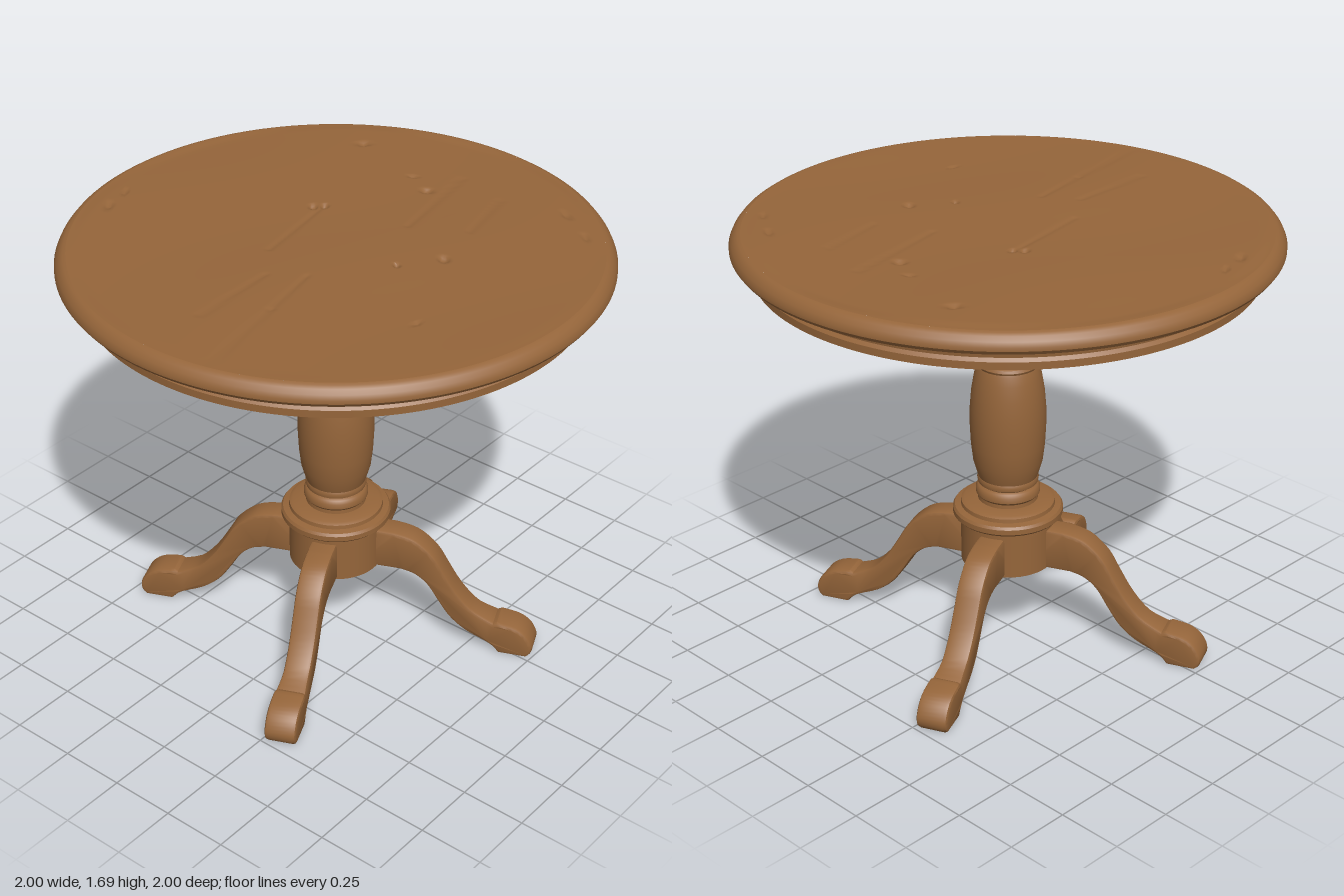
import * as THREE from 'three';
import { toCreasedNormals } from 'three/addons/utils/BufferGeometryUtils.js';

const wood = new THREE.MeshStandardMaterial({ color: 0x95653a });
wood.name = 'brown wood';

const vec = ([x, y]) => new THREE.Vector2(x, y);

function part(name, geometry) {
  const mesh = new THREE.Mesh(geometry, wood);
  mesh.name = name;
  return mesh;
}

// Turned part; the profile runs from bottom to top
const turned = (name, profile, sides) =>
  part(name, toCreasedNormals(new THREE.LatheGeometry(profile.map(vec), sides), 0.6));

// Distance from a point to a segment
function segmentDistance(x, z, [x1, z1, x2, z2]) {
  const dx = x2 - x1, dz = z2 - z1;
  const t = THREE.MathUtils.clamp(((x - x1) * dx + (z - z1) * dz) / (dx * dx + dz * dz), 0, 1);
  return Math.hypot(x - x1 - t * dx, z - z1 - t * dz);
}

// Knots (x, z, radius) and cracks (x1, z1, x2, z2) worn into the top
const knots = [
  [0.38, -0.13, 0.02], [-0.23, -0.15, 0.016], [-0.2, -0.18, 0.014], [0.53, -0.67, 0.016],
  [0.68, -0.57, 0.014], [0.01, -0.52, 0.02], [0.28, 0.01, 0.012], [-0.81, 0.32, 0.018],
  [-0.41, -0.67, 0.02], [-0.1, -0.58, 0.01], [0.57, 0.28, 0.01], [-0.84, 0.2, 0.01],
];
const cracks = [
  [0.09, 0.27, 0.14, 0.52], [0.14, 0.52, 0.21, 0.92], [0.05, -0.68, 0.13, -0.25],
  [0.27, -0.62, 0.33, -0.35], [-0.2, -0.15, -0.14, 0.2], [-0.03, 0.35, -0.02, 0.7],
];

function topHeight(x, z) {
  const fade = 1 - THREE.MathUtils.smoothstep(Math.hypot(x, z), 0.9, 0.955);
  let h = 0.003 * Math.sin(7 * x + 1.5 * Math.sin(2.5 * z)) + 0.002 * Math.sin(4 * z - 5 * x + 1);
  for (const [kx, kz, kr] of knots) {
    const d = Math.hypot(x - kx, z - kz) / kr;
    h -= 0.014 * Math.exp(-Math.pow(d, 4));
  }
  for (const crack of cracks) {
    const d = segmentDistance(x, z, crack) / 0.01;
    h -= 0.004 * Math.exp(-d * d);
  }
  return 1.688 + fade * h;
}

function tableTop() {
  const group = new THREE.Group();
  group.name = 'tableTop';
  // Underside, apron and rounded rim
  group.add(turned('apronAndRim', [
    [0, 1.533], [0.922, 1.533], [0.922, 1.56], [0.912, 1.572], [0.914, 1.585], [0.928, 1.598],
    [0.93, 1.608], [0.965, 1.611], [0.988, 1.618], [0.998, 1.632], [0.998, 1.645],
    [0.99, 1.662], [0.978, 1.677], [0.966, 1.685], [0.955, 1.688],
  ], 160));
  // Worn upper surface
  const surface = new THREE.RingGeometry(0.0005, 0.955, 240, 100).rotateX(-Math.PI / 2);
  const p = surface.attributes.position;
  for (let i = 0; i < p.count; i++) p.setY(i, topHeight(p.getX(i), p.getZ(i)));
  surface.computeVertexNormals();
  group.add(part('wornSurface', surface));
  return group;
}

// Curved leg cut from a side profile, with softened edges
function legGeometry() {
  const shape = new THREE.Shape();
  shape.moveTo(0.1, 0.482);
  shape.lineTo(0.23, 0.482);
  shape.splineThru([
    [0.29, 0.472], [0.34, 0.45], [0.4, 0.395], [0.445, 0.32], [0.495, 0.24], [0.56, 0.17], [0.64, 0.133],
  ].map(vec));
  shape.lineTo(0.655, 0.14);
  shape.splineThru([[0.725, 0.128], [0.77, 0.1], [0.796, 0.055], [0.793, 0.02], [0.775, 0]].map(vec));
  shape.lineTo(0.665, 0);
  shape.splineThru([
    [0.63, 0.032], [0.54, 0.07], [0.47, 0.125], [0.42, 0.195], [0.375, 0.265], [0.325, 0.305], [0.27, 0.32],
  ].map(vec));
  shape.lineTo(0.1, 0.32);
  const bevel = 0.012;
  const geo = new THREE.ExtrudeGeometry(shape, {
    depth: 0.1 - 2 * bevel, curveSegments: 3, bevelEnabled: true,
    bevelSize: bevel, bevelOffset: -bevel, bevelThickness: bevel, bevelSegments: 2,
  });
  geo.translate(0, 0, -0.05 + bevel);
  // Slightly wider at the foot
  const p = geo.attributes.position;
  for (let i = 0; i < p.count; i++) {
    const wide = 1 + 0.2 * THREE.MathUtils.smoothstep(p.getX(i), 0.56, 0.68);
    p.setZ(i, p.getZ(i) * wide);
  }
  return toCreasedNormals(geo, 0.6);
}

export function createModel() {
  const model = new THREE.Group();
  model.name = 'pedestalTable';
  model.add(tableTop());

  // Turned pedestal column
  model.add(turned('column', [
    [0.1, 0.48], [0.18, 0.485], [0.18, 0.505], [0.2, 0.51], [0.21, 0.52], [0.21, 0.54], [0.203, 0.55],
    [0.18, 0.555], [0.178, 0.57], [0.165, 0.577], [0.115, 0.58],
    [0.114, 0.595], [0.122, 0.605], [0.122, 0.625], [0.114, 0.637], [0.103, 0.642],
    [0.114, 0.65], [0.117, 0.665], [0.113, 0.675], [0.118, 0.69],
    [0.132, 0.74], [0.14, 0.81], [0.144, 0.89], [0.143, 0.96], [0.137, 1.03], [0.127, 1.09], [0.118, 1.125],
    [0.115, 1.133], [0.119, 1.142], [0.114, 1.152], [0.102, 1.158], [0.11, 1.167], [0.116, 1.18],
    [0.115, 1.195], [0.108, 1.205], [0.14, 1.21], [0.152, 1.22], [0.157, 1.238],
    [0.154, 1.252], [0.14, 1.268], [0.13, 1.285], [0.126, 1.305], [0.165, 1.308], [0.175, 1.315],
    [0.177, 1.335], [0.172, 1.41], [0.166, 1.48], [0.168, 1.497],
    [0.2, 1.503], [0.212, 1.515], [0.213, 1.536],
  ], 64));

  // Round hub holding the legs
  const hub = new THREE.CylinderGeometry(0.18, 0.18, 0.168, 48).translate(0, 0.404, 0);
  model.add(part('hub', hub));

  // Four legs, a quarter turn apart
  const leg = legGeometry();
  for (let i = 0; i < 4; i++) {
    const mesh = part('leg', leg);
    mesh.rotation.y = THREE.MathUtils.degToRad(24 + 90 * i);
    model.add(mesh);
  }
  return model;
}
